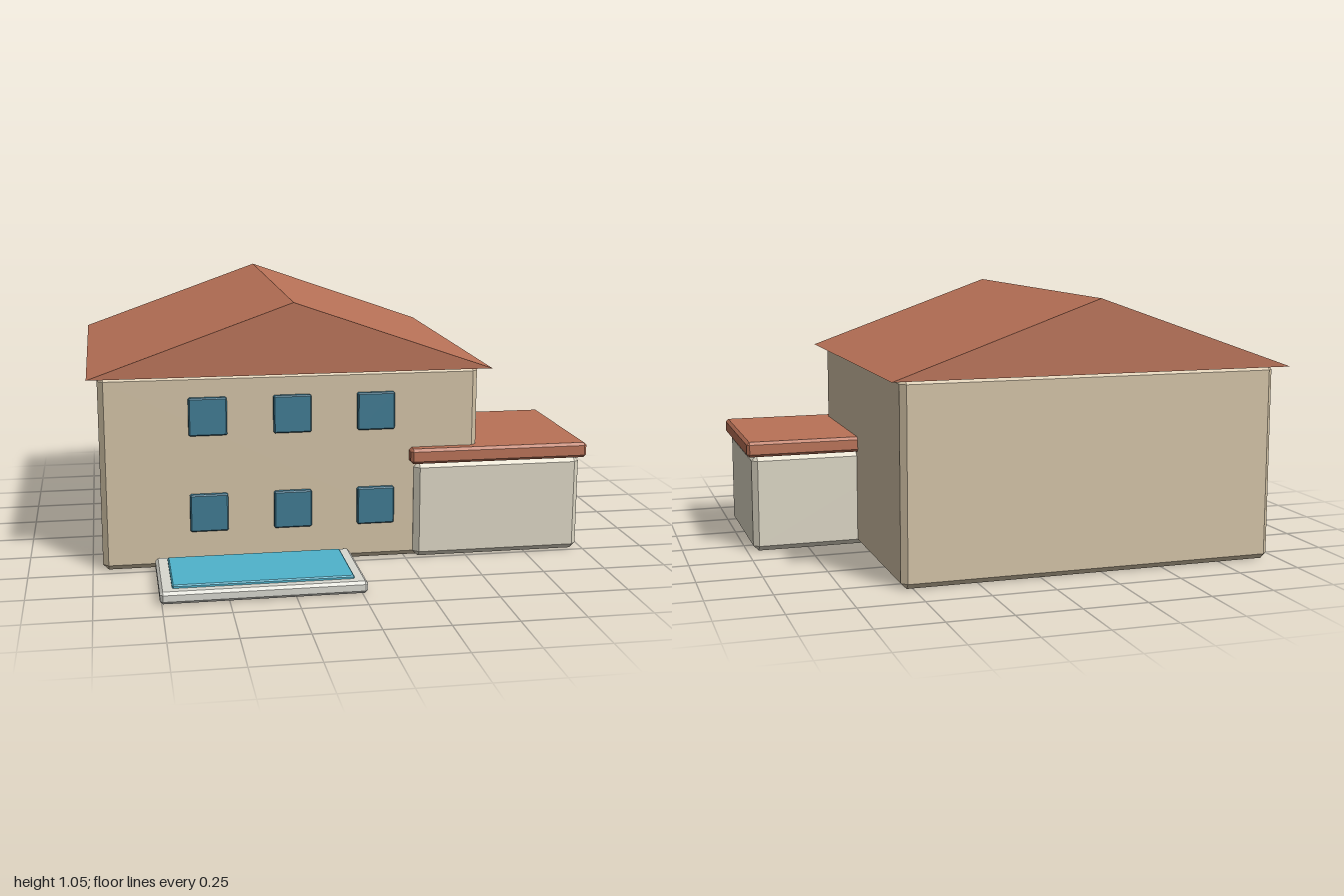
import * as THREE from 'three';
import { ConvexGeometry } from 'three/addons/geometries/ConvexGeometry.js';

const paint = (color) => new THREE.MeshStandardMaterial({ color, flatShading: true });

// Box given by its limits, with every edge cut by a flat chamfer c
function chamferBox(name, [x0, x1], [y0, y1], [z0, z1], c, material) {
  const half = [(x1 - x0) / 2, (y1 - y0) / 2, (z1 - z0) / 2];
  const points = [];
  for (const sx of [-1, 1]) for (const sy of [-1, 1]) for (const sz of [-1, 1]) {
    for (let axis = 0; axis < 3; axis++) {
      const p = half.map((h, i) => (i === axis ? h : h - c));
      points.push(new THREE.Vector3(sx * p[0], sy * p[1], sz * p[2]));
    }
  }
  const mesh = new THREE.Mesh(new ConvexGeometry(points), material);
  mesh.name = name;
  mesh.position.set((x0 + x1) / 2, (y0 + y1) / 2, (z0 + z1) / 2);
  return mesh;
}

export function createModel() {
  const model = new THREE.Group();
  model.name = 'house';
  const wall = paint(0xd2c2a6);
  const annexWall = paint(0xdcd6c4);
  const tile = paint(0xb97257);
  const glass = paint(0x3f7a92);
  const stone = paint(0xd8d8d0);
  const blue = paint(0x4fb3cc);

  // Main two-storey block
  model.add(chamferBox('mainWalls', [-0.96, 0.545], [0, 0.78], [-0.845, 0.47], 0.022, wall));

  // Gable roof: a closed triangular prism with its ridge along z
  const gable = new THREE.Shape();
  gable.moveTo(-1, 0.775);
  gable.lineTo(0.59, 0.775);
  gable.lineTo(-0.205, 1.055);
  gable.closePath();
  const roof = new THREE.Mesh(
    new THREE.ExtrudeGeometry(gable, { depth: 1.41, bevelEnabled: false }), tile);
  roof.name = 'gableRoof';
  roof.position.z = -0.895;
  model.add(roof);

  // Single-storey annex with a flat roof slab
  model.add(chamferBox('annexWalls', [0.285, 0.975], [0, 0.395], [-0.12, 0.495], 0.022, annexWall));
  model.add(chamferBox('annexRoof', [0.265, 0.997], [0.393, 0.455], [-0.14, 0.515], 0.011, tile));

  // Front windows, three on each floor
  const windows = new THREE.Group();
  windows.name = 'windows';
  for (const y of [0.225, 0.612]) for (const x of [-0.54, -0.207, 0.127]) {
    windows.add(chamferBox('window', [x - 0.075, x + 0.075], [y - 0.075, y + 0.075],
      [0.465, 0.492], 0.005, glass));
  }
  model.add(windows);

  // Pool in front: stone surround and water
  model.add(chamferBox('poolSurround', [-0.757, 0.02], [0.003, 0.05], [0.48, 0.893], 0.011, stone));
  model.add(chamferBox('poolWater', [-0.71, -0.025], [0.035, 0.062], [0.52, 0.85], 0.005, blue));

  return model;
}
